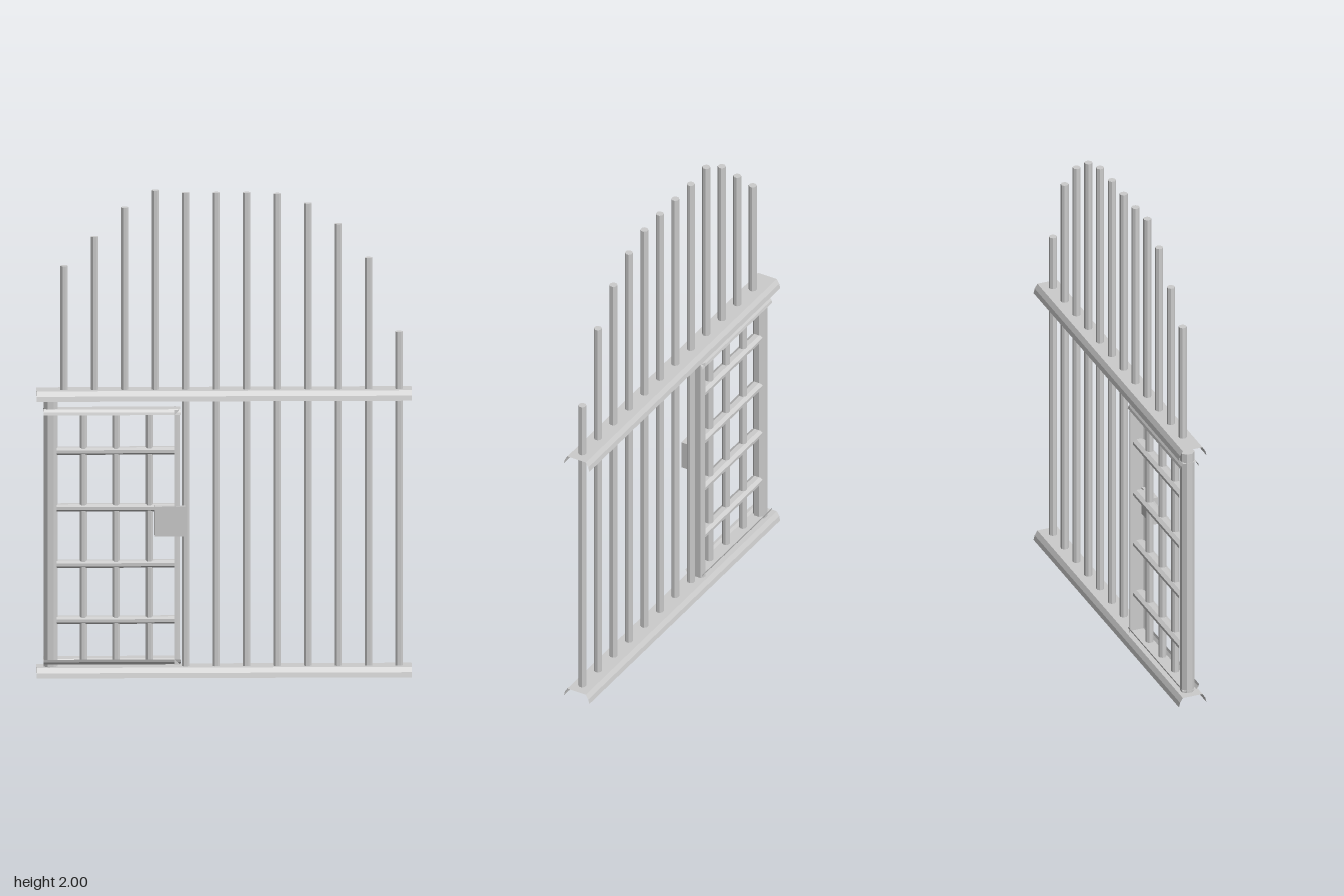
import * as THREE from 'three';

const metal = new THREE.MeshStandardMaterial({ color: 0xcccccc, flatShading: true });
const sheet = new THREE.MeshStandardMaterial({ color: 0xcccccc, flatShading: true, side: THREE.DoubleSide });
const Z = -0.003; // centre plane of rails, post and door

function add(parent, name, geometry, x, y, z, material = metal) {
  const mesh = new THREE.Mesh(geometry, material);
  mesh.name = name;
  mesh.position.set(x, y, z);
  parent.add(mesh);
  return mesh;
}

// Upright eight-sided bar between two heights
function upright(parent, name, x, y0, y1, r, z = 0) {
  const g = new THREE.CylinderGeometry(r, r, y1 - y0, 8).rotateY(Math.PI / 8);
  return add(parent, name, g, x, (y0 + y1) / 2, z);
}

// Folded sheet along x, open below: cross-section runs from back lip to front lip
function channel(length, width, height) {
  const section = [[-0.5, 0], [-0.46, 0.5], [-0.36, 1], [0.36, 1], [0.46, 0.5], [0.5, 0]];
  const g = new THREE.PlaneGeometry(length, 1, 1, section.length - 1);
  const p = g.attributes.position;
  for (let i = 0; i < p.count; i++) {
    const [z, y] = section[Math.floor(i / 2)];
    p.setXYZ(i, p.getX(i), y * height, z * width);
  }
  g.computeVertexNormals();
  return g;
}

export function createModel() {
  const model = new THREE.Group();
  model.name = 'barredGate';

  // Long rails
  add(model, 'bottomRail', channel(1.52, 0.12, 0.04), 0, 0, Z, sheet);
  add(model, 'topRail', channel(1.52, 0.12, 0.04), 0, 1.14, Z, sheet);

  // Bars: an arched row above, the fixed panel below
  const tops = [1.69, 1.81, 1.93, 2, 1.99, 1.99, 1.99, 1.985, 1.945, 1.86, 1.72, 1.415];
  tops.forEach((top, i) => {
    const x = -0.648 + i * 0.1233;
    upright(model, 'upperBar', x, 1.172, top, 0.0165);
    if (i > 3) upright(model, 'lowerBar', x, 0.03, 1.157, 0.0165);
  });

  // Hinge post
  upright(model, 'hingePost', -0.702, 0.04, 1.142, 0.03, Z);

  // Door
  const door = new THREE.Group();
  door.name = 'door';
  model.add(door);
  add(door, 'doorTop', channel(0.555, 0.08, 0.022), -0.453, 1.08, Z, sheet);
  add(door, 'doorBottom', channel(0.555, 0.08, 0.022), -0.453, 0.073, Z, sheet).rotation.x = Math.PI;
  add(door, 'doorStile', channel(1.05, 0.08, 0.022), -0.2, 0.576, Z, sheet).rotation.z = -Math.PI / 2;
  for (const x of [-0.57, -0.436, -0.302]) upright(door, 'doorBar', x, 0.06, 1.09, 0.0165);
  for (const y of [0.23, 0.461, 0.693, 0.927]) {
    const g = new THREE.CylinderGeometry(1, 1, 0.48, 8).rotateY(Math.PI / 8)
      .rotateZ(Math.PI / 2).scale(1, 0.0165, 0.028);
    add(door, 'crossbar', g, -0.438, y, Z);
  }

  // Lock box
  add(door, 'lock', new THREE.BoxGeometry(0.127, 0.122, 0.028), -0.219, 0.643, 0.031);

  return model;
}
